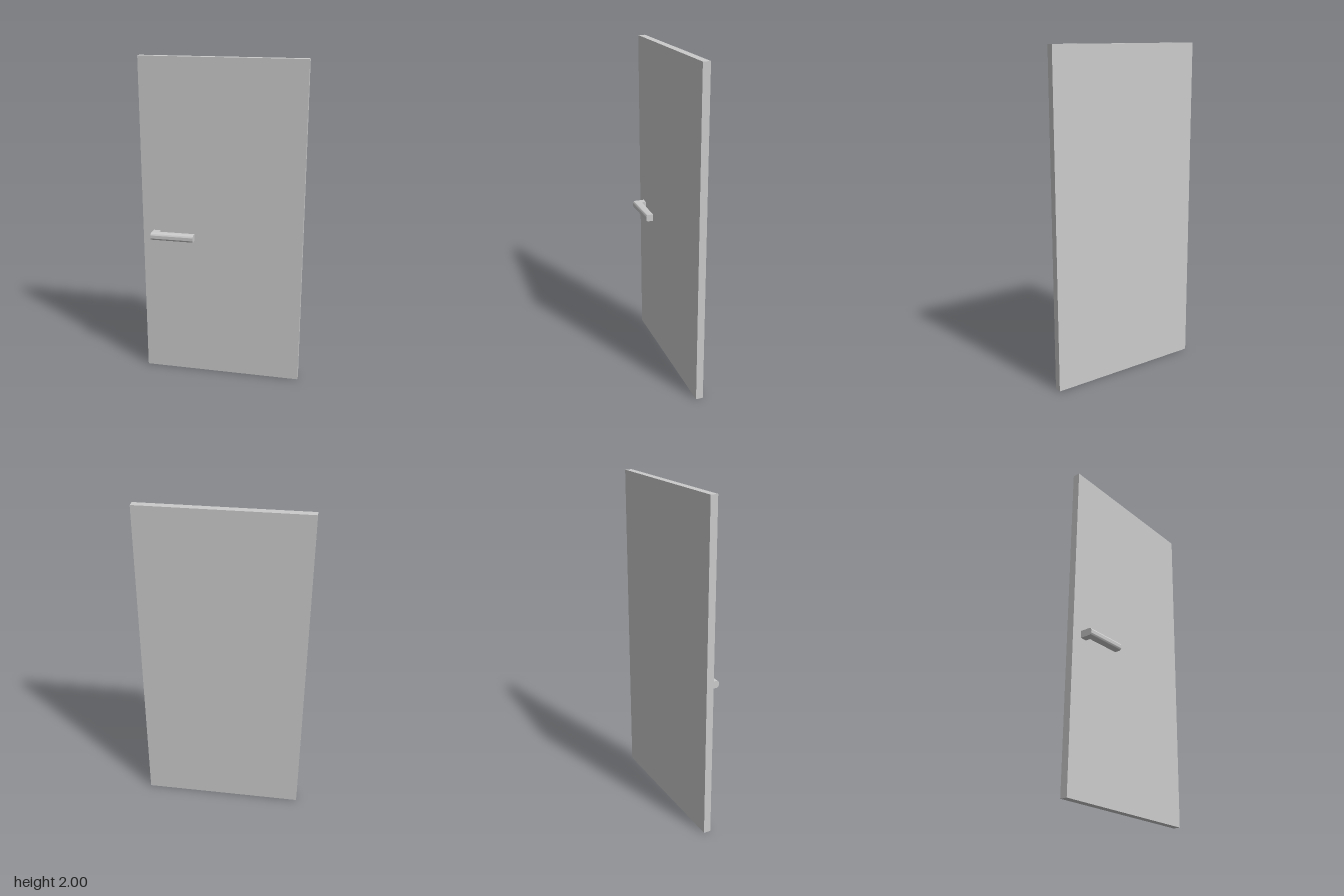
import * as THREE from 'three';
import { toCreasedNormals } from 'three/addons/utils/BufferGeometryUtils.js';

const material = new THREE.MeshStandardMaterial({ color: 0xcccccc });

function addPart(parent, name, geometry, x, y, z) {
  const mesh = new THREE.Mesh(geometry, material);
  mesh.name = name;
  mesh.position.set(x, y, z);
  parent.add(mesh);
}

// Bar along x whose two front edges are rounded; its right end is at x = 0
function gripGeometry(length, height, depth, radius) {
  const h = height / 2;
  const profile = new THREE.Shape();
  profile.moveTo(0, -h);
  profile.lineTo(depth - radius, -h);
  profile.absarc(depth - radius, -h + radius, radius, -Math.PI / 2, 0);
  profile.lineTo(depth, h - radius);
  profile.absarc(depth - radius, h - radius, radius, 0, Math.PI / 2);
  profile.lineTo(0, h);
  profile.closePath();
  const bar = new THREE.ExtrudeGeometry(profile, { depth: length, bevelEnabled: false, curveSegments: 8 });
  bar.rotateY(-Math.PI / 2).translate(length, 0, 0);
  return toCreasedNormals(bar, Math.PI / 6);
}

export function createModel() {
  const door = new THREE.Group();
  door.name = 'door';

  // Plain slab
  addPart(door, 'doorPanel', new THREE.BoxGeometry(0.988, 2, 0.044), 0, 1, -0.038);

  // Lever handle: short stem out of the panel, then the grip
  const handle = new THREE.Group();
  handle.name = 'handle';
  handle.position.set(-0.428, 0.925, 0);
  addPart(handle, 'handleStem', new THREE.BoxGeometry(0.043, 0.043, 0.029), 0.0215, 0, -0.0015);
  addPart(handle, 'handleGrip', gripGeometry(0.265, 0.043, 0.046, 0.014), 0, 0, 0.013);
  door.add(handle);

  return door;
}
